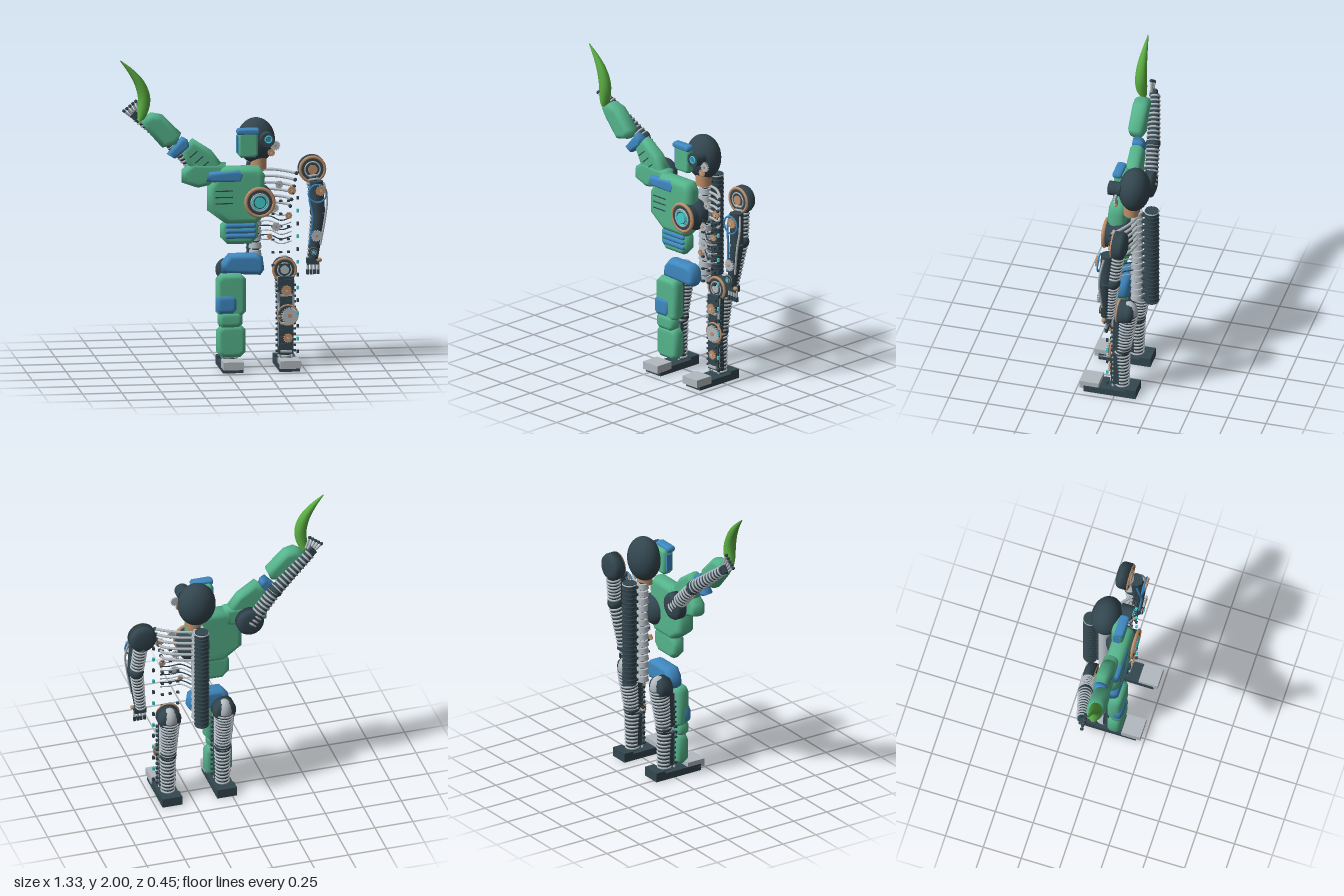
import * as THREE from 'three';
import { mergeVertices } from 'three/addons/utils/BufferGeometryUtils.js';

const mat = color => new THREE.MeshStandardMaterial({ color });
const DARK = mat(0x33464f), GREEN = mat(0x55b48c), BLUE = mat(0x3f88c0), COPPER = mat(0xc0906a),
  CYAN = mat(0x45cfd0), STEEL = mat(0xb2bac0), LEAF = mat(0x5cb044);
const V = (x, y, z) => new THREE.Vector3(x, y, z);

export function createModel() {
  const root = new THREE.Group();
  const add = (name, geo, m, x = 0, y = 0, z = 0) => {
    const mesh = new THREE.Mesh(geo, m);
    mesh.name = name;
    mesh.position.set(x, y, z);
    root.add(mesh);
    return mesh;
  };
  const box = (name, m, x, y, z, w, h, d) => add(name, new THREE.BoxGeometry(w, h, d), m, x, y, z);
  const ball = (name, m, x, y, z, rx, ry = rx, rz = rx) =>
    add(name, new THREE.SphereGeometry(1, 32, 20), m, x, y, z).scale.set(rx, ry, rz);
  // Disc facing front
  const disc = (name, m, x, y, z, r, d) => {
    add(name, new THREE.CylinderGeometry(r, r, d, 28), m, x, y, z).rotation.x = Math.PI / 2;
  };
  const ring = (name, m, x, y, z, r, t) => add(name, new THREE.TorusGeometry(r, t, 8, 32), m, x, y, z);
  // Tapered bar between two points
  const bar = (name, m, a, b, r0, r1 = r0, n = 16) => {
    const dir = b.clone().sub(a), mid = a.clone().lerp(b, 0.5);
    const c = add(name, new THREE.CylinderGeometry(r1, r0, dir.length(), n), m, mid.x, mid.y, mid.z);
    c.quaternion.setFromUnitVectors(V(0, 1, 0), dir.normalize());
  };
  const tube = (name, m, pts, r) =>
    add(name, new THREE.TubeGeometry(new THREE.CatmullRomCurve3(pts), 24, r, 8), m);
  // Domed, smooth armour plate with an outline, from z0 to z1
  const plate = (name, m, pts, z0, z1, bevel = 0.03) => {
    const t = (z1 - z0) * 0.42;
    const g = new THREE.ExtrudeGeometry(new THREE.Shape(pts.map(p => new THREE.Vector2(...p))), {
      depth: z1 - z0 - 2 * t, bevelSize: bevel, bevelThickness: t, bevelOffset: -bevel, bevelSegments: 5,
    });
    g.deleteAttribute('uv');
    g.deleteAttribute('normal');
    const smooth = mergeVertices(g, 1e-4);
    smooth.computeVertexNormals();
    add(name, smooth, m, 0, 0, z0 + t);
  };
  // Upright eight-sided plate
  const pad = (name, m, x, y, w, h, z0, z1, c = 0.035, bevel = 0.03) => {
    const a = w / 2, b = h / 2;
    plate(name, m, [[x - a + c, y - b], [x + a - c, y - b], [x + a, y - b + c], [x + a, y + b - c],
      [x + a - c, y + b], [x - a + c, y + b], [x - a, y + b - c], [x - a, y - b + c]], z0, z1, bevel);
  };
  const gear = (name, m, x, y, z, r, teeth = 14) => {
    const s = new THREE.Shape();
    for (let i = 0; i < teeth * 4; i++) {
      const k = i % 4 < 2 ? r : r * 0.82, a = i / (teeth * 2) * Math.PI;
      s[i ? 'lineTo' : 'moveTo'](Math.cos(a) * k, Math.sin(a) * k);
    }
    add(name, new THREE.ExtrudeGeometry(s, { depth: 0.012, bevelEnabled: false }), m, x, y, z - 0.006);
    disc(name + 'Hub', m === COPPER ? STEEL : COPPER, x, y, z + 0.006, r * 0.25, 0.01);
  };
  // Joint drum with a rounded back, its axis along z
  const drum = (name, x, y, z, r, d) => {
    const p = [[0, -d / 2], [r * 0.6, -d / 2], [r * 0.9, -d * 0.36], [r, -d * 0.15], [r, d / 2], [0, d / 2]];
    add(name, new THREE.LatheGeometry(p.map(q => new THREE.Vector2(...q)), 36), DARK, x, y, z).rotation.x = Math.PI / 2;
  };
  const dial = (name, x, y, z, r, core = CYAN) => {
    disc(name + 'Face', DARK, x, y, z, r * 0.95, 0.014);
    ring(name + 'Rim', COPPER, x, y, z, r * 0.88, r * 0.12);
    ring(name + 'InnerRim', STEEL, x, y, z + 0.006, r * 0.55, r * 0.06);
    disc(name + 'Core', core, x, y, z + 0.006, r * 0.34, 0.016);
  };
  // Dark limb wrapped in spring rings
  const coilLimb = (name, a, b, r0, r1, n) => {
    bar(name, DARK, a, b, r0, r1, 20);
    const dir = b.clone().sub(a).normalize();
    for (let i = 0; i < n; i++) {
      const t = (i + 0.5) / n, p = a.clone().lerp(b, t);
      ring(name + 'Spring', STEEL, p.x, p.y, p.z, r0 + (r1 - r0) * t, 0.007)
        .quaternion.setFromUnitVectors(V(0, 0, 1), dir);
    }
  };

  // Head, half mask and exposed face machinery
  ball('head', DARK, 0.215, 1.44, -0.067, 0.122, 0.145, 0.1);
  bar('neck', COPPER, V(0.23, 1.26, -0.05), V(0.23, 1.34, -0.05), 0.05, 0.05);
  pad('faceMask', GREEN, 0.15, 1.435, 0.13, 0.17, -0.005, 0.072, 0.02, 0.018);
  pad('brow', BLUE, 0.148, 1.52, 0.145, 0.042, 0.02, 0.08, 0.012, 0.012);
  box('maskSide', BLUE, 0.09, 1.435, 0.035, 0.022, 0.11, 0.04);
  disc('eyeSocket', DARK, 0.27, 1.465, 0.045, 0.045, 0.08);
  ring('eyeRing', CYAN, 0.275, 1.47, 0.087, 0.021, 0.005);
  disc('eye', BLUE, 0.275, 1.47, 0.084, 0.014, 0.014);
  gear('cheekGear', STEEL, 0.325, 1.42, 0.03, 0.032);
  gear('jawGear', COPPER, 0.3, 1.375, 0.03, 0.024);

  // Chest and belly armour
  plate('chestPlate', GREEN, [[-0.11, 1.02], [0.01, 0.93], [0.2, 0.93], [0.25, 0.98], [0.255, 1.24],
    [0.215, 1.3], [-0.02, 1.3], [-0.11, 1.17]], -0.01, 0.105, 0.04);
  pad('bellyPlate', GREEN, 0.093, 0.885, 0.24, 0.17, 0.0, 0.085, 0.045);
  for (let i = 0; i < 4; i++)
    add('bellySlat', new THREE.CapsuleGeometry(0.017, 0.165, 4, 12), BLUE, 0.098, 0.855 + i * 0.033, 0.078).rotation.z = Math.PI / 2;
  for (let i = 0; i < 3; i++) box('chestSlit', DARK, -0.01, 1.07 + i * 0.04, 0.104, 0.11, 0.007, 0.006);
  plate('chestStrap', BLUE, [[-0.12, 1.21], [-0.02, 1.2], [0.1, 1.2], [0.12, 1.25], [0.09, 1.285], [-0.1, 1.27]],
    0.04, 0.11, 0.02);
  // Chest turbine
  ball('turbineHousing', DARK, 0.21, 1.075, 0.02, 0.105, 0.105, 0.09);
  disc('turbineBarrel', DARK, 0.21, 1.075, 0.085, 0.093, 0.06);
  dial('turbine', 0.215, 1.075, 0.118, 0.1);
  ring('turbineGlow', CYAN, 0.215, 1.075, 0.127, 0.045, 0.005);

  // Spine and ribbed back column
  bar('backColumn', DARK, V(0.215, 0.6, -0.178), V(0.215, 1.3, -0.178), 0.044);
  for (let i = 0; i < 24; i++)
    ring('columnRib', i < 23 ? DARK : STEEL, 0.215, 0.61 + i * 0.0296, -0.178, 0.043, 0.005).rotation.x = Math.PI / 2;
  bar('spineCore', DARK, V(0.215, 0.6, -0.08), V(0.215, 1.28, -0.08), 0.022);
  for (let i = 0; i < 14; i++) {
    const y = 0.62 + i * 0.049;
    bar('vertebra', STEEL, V(0.212, y - 0.018, -0.082), V(0.212, y + 0.018, -0.082), 0.042, 0.036);
    box('vertebraSpur', DARK, 0.215, y, -0.125, 0.03, 0.014, 0.04);
  }

  // Open left side: ribs, wires, gears and studs
  for (let i = 0; i < 6; i++) {
    const y = 1.245 - i * 0.042, w = 0.46 - i * 0.008;
    tube('rib', STEEL, [V(0.23, y, -0.09), V(0.33, y + 0.005, -0.065), V(0.41, y, -0.015), V(w, y - 0.005, 0.03)], 0.009);
    ball('ribTip', DARK, w, y - 0.005, 0.03, 0.012);
  }
  for (let i = 0; i < 7; i++) {
    const y = 0.98 - i * 0.03;
    tube('wire', i % 2 ? DARK : STEEL, [V(0.23, y, -0.07), V(0.3, y + 0.012, 0), V(0.36, y - 0.01, 0.03), V(0.43, y + 0.005, 0.02)], 0.004);
  }
  [[STEEL, 0.33, 0.9, 0.03], [STEEL, 0.35, 1.17, 0.026], [COPPER, 0.43, 1.13, 0.028], [COPPER, 0.41, 0.97, 0.022],
    [STEEL, 0.32, 1.02, 0.028], [COPPER, 0.29, 0.84, 0.018]].forEach(([m, x, y, r]) => gear('sideGear', m, x, y, 0.035, r));
  for (let i = 0; i < 13; i++) {
    const y = 0.1 + i * 0.082;
    box('sideStud', i % 2 ? CYAN : DARK, 0.465, y, 0.045, 0.014, 0.022, 0.014);
    if (i > 6) for (const x of [0.31, 0.36, 0.41]) box('innerStud', DARK, x, y - 0.02, 0.03, 0.018, 0.012, 0.016);
  }

  // Hip armour
  plate('pelvisPlate', BLUE, [[-0.02, 0.61], [0.23, 0.595], [0.255, 0.63], [0.245, 0.71], [0.2, 0.735],
    [0.03, 0.735], [-0.015, 0.68]], -0.03, 0.075, 0.03);

  // Legs and feet
  for (const x of [0.035, 0.395]) {
    const hip = V(x, 0.61, -0.075), knee = V(x, 0.33, -0.035), ankle = V(x, 0.05, -0.035);
    drum('hipDrum', x, 0.615, -0.068, 0.075, 0.1);
    ball('hipCap', STEEL, x, 0.62, -0.08, 0.05, 0.076, 0.055);
    coilLimb('thigh', hip, knee, 0.06, 0.048, 12);
    ball('knee', DARK, x, 0.33, -0.04, 0.055, 0.055, 0.05);
    coilLimb('shin', knee, ankle, 0.048, 0.04, 11);
    box('thighFrame', DARK, x, 0.46, 0.0, 0.1, 0.23, 0.05);
    box('shinFrame', DARK, x, 0.19, 0.0, 0.095, 0.22, 0.05);
    box('sole', DARK, x, 0.022, 0.032, 0.13, 0.044, 0.335);
    box('heel', DARK, x, 0.03, -0.103, 0.13, 0.06, 0.07);
    box('toeCap', STEEL, x, 0.049, 0.165, 0.13, 0.05, 0.125);
    for (const s of [-1, 1]) {
      bar('thighPiston', STEEL, V(x + s * 0.045, 0.58, 0.015), V(x + s * 0.045, 0.36, 0.02), 0.008);
      bar('shinPiston', STEEL, V(x + s * 0.042, 0.3, 0.015), V(x + s * 0.04, 0.06, 0.015), 0.008);
      for (let i = 0; i < 13; i++) box('legRivet', DARK, x + s * 0.058, 0.1 + i * 0.035, 0.01, 0.014, 0.012, 0.02);
    }
  }
  // Exposed left leg machinery
  dial('hipDial', 0.39, 0.615, -0.012, 0.08, STEEL);
  gear('thighGear', COPPER, 0.395, 0.49, 0.04, 0.034);
  gear('kneeGear', STEEL, 0.415, 0.33, 0.045, 0.055, 20);
  ring('kneeRing', COPPER, 0.405, 0.33, 0.025, 0.064, 0.006);
  gear('shinGear', COPPER, 0.405, 0.185, 0.04, 0.03);
  for (let i = 0; i < 11; i++) box('legSlat', i % 4 ? DARK : STEEL, 0.395, 0.1 + i * 0.045, 0.03, 0.07, 0.014, 0.014);
  // Right leg armour
  pad('thighArmour', GREEN, 0.038, 0.475, 0.19, 0.28, 0.012, 0.103);
  pad('kneeGuard', BLUE, 0.008, 0.42, 0.135, 0.125, 0.04, 0.113, 0.025);
  pad('kneeArmour', GREEN, 0.033, 0.322, 0.155, 0.105, 0.025, 0.11, 0.025);
  pad('shinArmour', GREEN, 0.04, 0.182, 0.185, 0.21, 0.01, 0.1);

  // Raised right arm
  const el = V(-0.31, 1.43, -0.045);
  drum('rightShoulderDrum', -0.135, 1.245, -0.075, 0.088, 0.07);
  ring('rightShoulderRim', COPPER, -0.135, 1.245, -0.042, 0.078, 0.008);
  coilLimb('rightUpperArm', V(-0.13, 1.23, -0.075), el, 0.042, 0.038, 10);
  ball('rightElbow', DARK, el.x, el.y, el.z, 0.047);
  coilLimb('rightForearm', el, V(-0.56, 1.63, 0.01), 0.04, 0.028, 11);
  plate('shoulderArmour', GREEN, [[-0.27, 1.2], [-0.17, 1.165], [0.0, 1.2], [0.01, 1.32], [-0.2, 1.33], [-0.27, 1.28]], -0.02, 0.08);
  plate('upperArmArmour', GREEN, [[-0.275, 1.4], [-0.2, 1.25], [-0.06, 1.23], [-0.02, 1.32], [-0.08, 1.4], [-0.2, 1.48]], -0.015, 0.075);
  plate('elbowGuard', BLUE, [[-0.365, 1.385], [-0.315, 1.355], [-0.22, 1.43], [-0.235, 1.475], [-0.27, 1.495]], 0.0, 0.075, 0.02);
  plate('forearmArmour', GREEN, [[-0.54, 1.61], [-0.5, 1.55], [-0.4, 1.435], [-0.31, 1.455], [-0.28, 1.525], [-0.4, 1.645], [-0.47, 1.66]], 0.015, 0.12, 0.035);
  for (let i = 0; i < 3; i++)
    box('armSlit', DARK, -0.2 + i * 0.035, 1.385 - i * 0.035, 0.074, 0.065, 0.007, 0.005).rotation.z = 0.7;
  // Right hand and fingers
  box('rightPalm', DARK, -0.563, 1.633, 0.02, 0.05, 0.05, 0.04).rotation.z = 0.85;
  for (let i = 0; i < 5; i++) {
    const b = V(-0.637 + i * 0.019, 1.668 + i * 0.015, 0.035);
    bar('rightFinger', STEEL, V(-0.585 + i * 0.013, 1.625 + i * 0.008, 0.03), b, 0.008, 0.008, 8);
    ball('rightFingerTip', DARK, b.x, b.y, b.z, 0.011);
  }
  // Curved fruit held in the raised hand
  const path = new THREE.CatmullRomCurve3([V(-0.545, 1.6, 0.075), V(-0.525, 1.67, 0.085), V(-0.517, 1.76, 0.09),
    V(-0.545, 1.85, 0.09), V(-0.6, 1.93, 0.087), V(-0.667, 2.0, 0.084)]);
  const fruit = new THREE.TubeGeometry(path, 40, 1, 12), fp = fruit.attributes.position;
  for (let k = 0; k < fp.count; k++) {
    const t = Math.floor(k / 13) / 40, c = path.getPointAt(t);
    const r = 0.003 + 0.036 * Math.sin(Math.PI * Math.pow(t, 0.63));
    const p = V(0, 0, 0).fromBufferAttribute(fp, k).sub(c).multiplyScalar(r).add(c);
    fp.setXYZ(k, p.x, p.y, p.z);
  }
  add('fruit', fruit, LEAF);

  // Lowered left arm, exposed
  const le = V(0.6, 0.98, -0.03);
  drum('leftShoulderDrum', 0.57, 1.25, -0.07, 0.088, 0.08);
  dial('leftShoulderDial', 0.57, 1.25, -0.03, 0.088, COPPER);
  coilLimb('leftUpperArm', V(0.575, 1.22, -0.06), le, 0.042, 0.038, 10);
  ball('leftElbow', DARK, le.x, le.y, le.z, 0.047);
  coilLimb('leftForearm', le, V(0.56, 0.68, 0.005), 0.038, 0.028, 12);
  bar('leftUpperFrame', DARK, V(0.59, 1.18, 0.005), V(0.6, 0.98, 0.012), 0.045, 0.046, 8);
  bar('leftLowerFrame', DARK, V(0.605, 0.98, 0.015), V(0.565, 0.69, 0.025), 0.044, 0.032, 8);
  ring('armRing', BLUE, 0.59, 1.11, 0.06, 0.057, 0.006);
  gear('armGear', COPPER, 0.61, 1.13, 0.07, 0.034);
  gear('forearmGear', STEEL, 0.585, 0.84, 0.065, 0.038);
  dial('wristDial', 0.565, 0.735, 0.055, 0.032);
  ball('thumb', COPPER, 0.605, 0.68, 0.03, 0.017, 0.014, 0.014);
  for (const s of [-1, 1])
    tube('armCable', s < 0 ? BLUE : STEEL, [V(0.59 + s * 0.045, 1.17, 0.02), V(0.597 + s * 0.055, 1.07, 0.04),
      V(0.6 + s * 0.04, 0.96, 0.05), V(0.575 + s * 0.035, 0.78, 0.04)], 0.007);
  box('leftPalm', DARK, 0.565, 0.67, 0.01, 0.075, 0.04, 0.04);
  for (let i = 0; i < 4; i++) {
    const x = 0.533 + i * 0.022;
    bar('leftFinger', STEEL, V(x, 0.66, 0.015), V(x, 0.61, 0.015), 0.008, 0.008, 8);
    box('leftFingerTip', DARK, x, 0.602, 0.015, 0.016, 0.03, 0.018);
  }
  return root;
}
